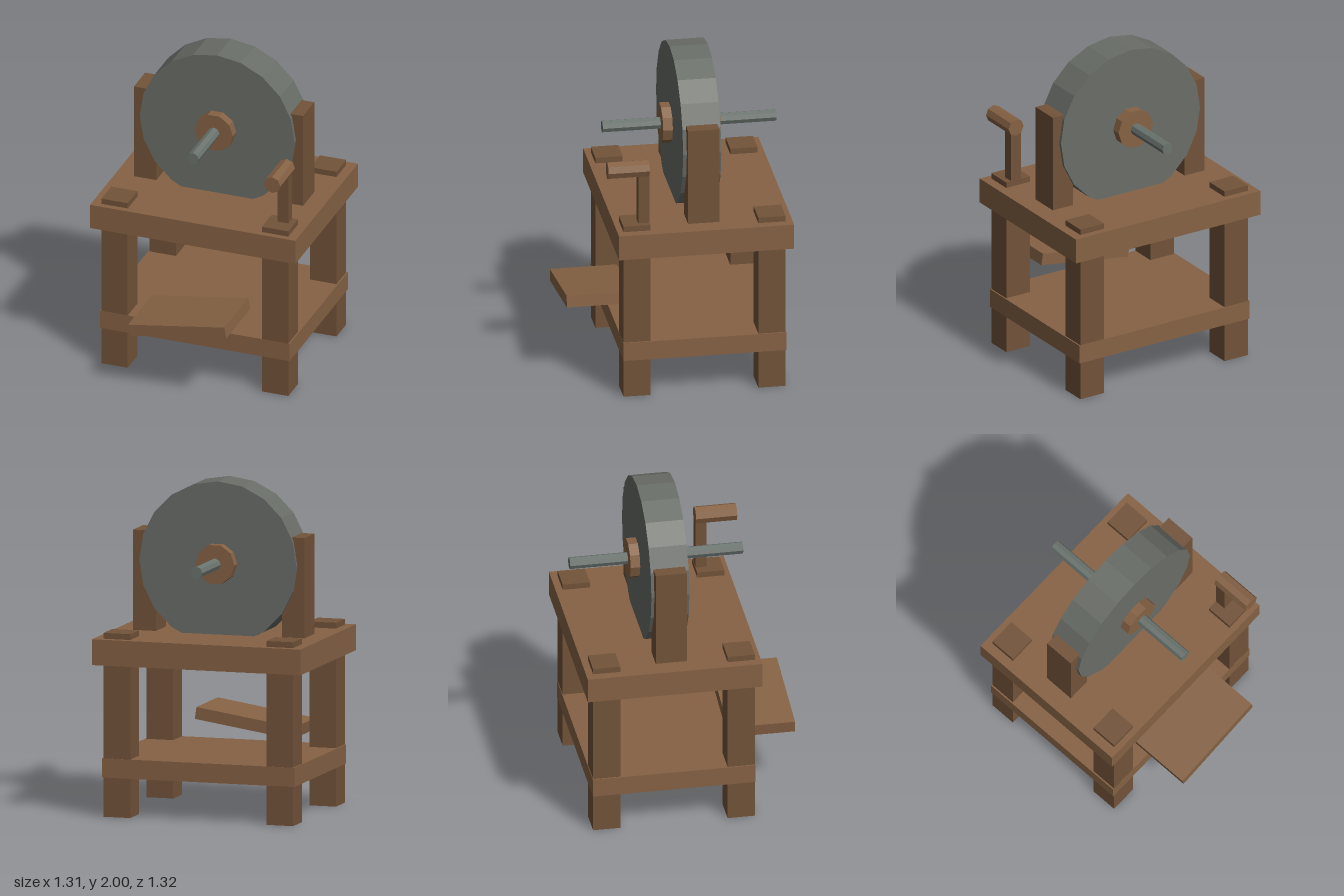
import * as THREE from 'three';

const mat = (name, color) => {
  const m = new THREE.MeshStandardMaterial({ color });
  m.name = name;
  m.flatShading = true;
  return m;
};

export function createModel() {
  const model = new THREE.Group();
  model.name = 'grindstone';
  const plankWood = mat('plank wood', 0x866244);
  const beamWood = mat('beam wood', 0x725339);
  const stone = mat('stone', 0x696d67);
  const metal = mat('metal', 0x6b746f);

  const add = (name, geometry, material, x, y, z) => {
    const mesh = new THREE.Mesh(geometry, material);
    mesh.name = name;
    mesh.position.set(x, y, z);
    model.add(mesh);
    return mesh;
  };
  const box = (name, material, w, h, d, x, y, z) =>
    add(name, new THREE.BoxGeometry(w, h, d), material, x, y, z);
  // Faceted cylinder lying along z, with a corner on the +x axis
  const rod = (name, material, r, length, sides, x, y, z) =>
    add(name, new THREE.CylinderGeometry(r, r, length, sides, 1, false, Math.PI / 2)
      .rotateX(Math.PI / 2), material, x, y, z);

  // Table top and lower shelf
  box('tableTop', plankWood, 1.31, 0.156, 1.06, 0, 0.997, -0.128);
  box('shelf', plankWood, 1.21, 0.116, 0.985, 0, 0.295, -0.126);

  for (const side of [-1, 1]) {
    // Legs poke slightly through the table top
    for (const z of [0.283, -0.533])
      box('leg', beamWood, 0.168, 1.11, 0.165, side * 0.512, 0.555, z);
    // Posts beside the wheel
    box('post', beamWood, 0.143, 0.68, 0.19, side * 0.468, 1.34, -0.13);
  }

  // Wheel, hub and axle
  const axleY = 1.506;
  rod('wheel', stone, 0.494, 0.231, 20, 0, axleY, -0.128);
  rod('hub', plankWood, 0.122, 0.348, 10, 0, axleY, -0.128);
  rod('axle', metal, 0.037, 1.05, 8, 0, axleY, -0.128);

  // Crank arm and handle
  box('crankArm', beamWood, 0.07, 0.39, 0.067, 0.525, 1.255, 0.236);
  rod('crankHandle', plankWood, 0.053, 0.25, 8, 0.525, 1.452, 0.327);

  // Tilted foot pedal
  box('pedal', plankWood, 0.622, 0.073, 0.405, -0.002, 0.468, 0.458).rotation.z = 0.152;

  return model;
}
